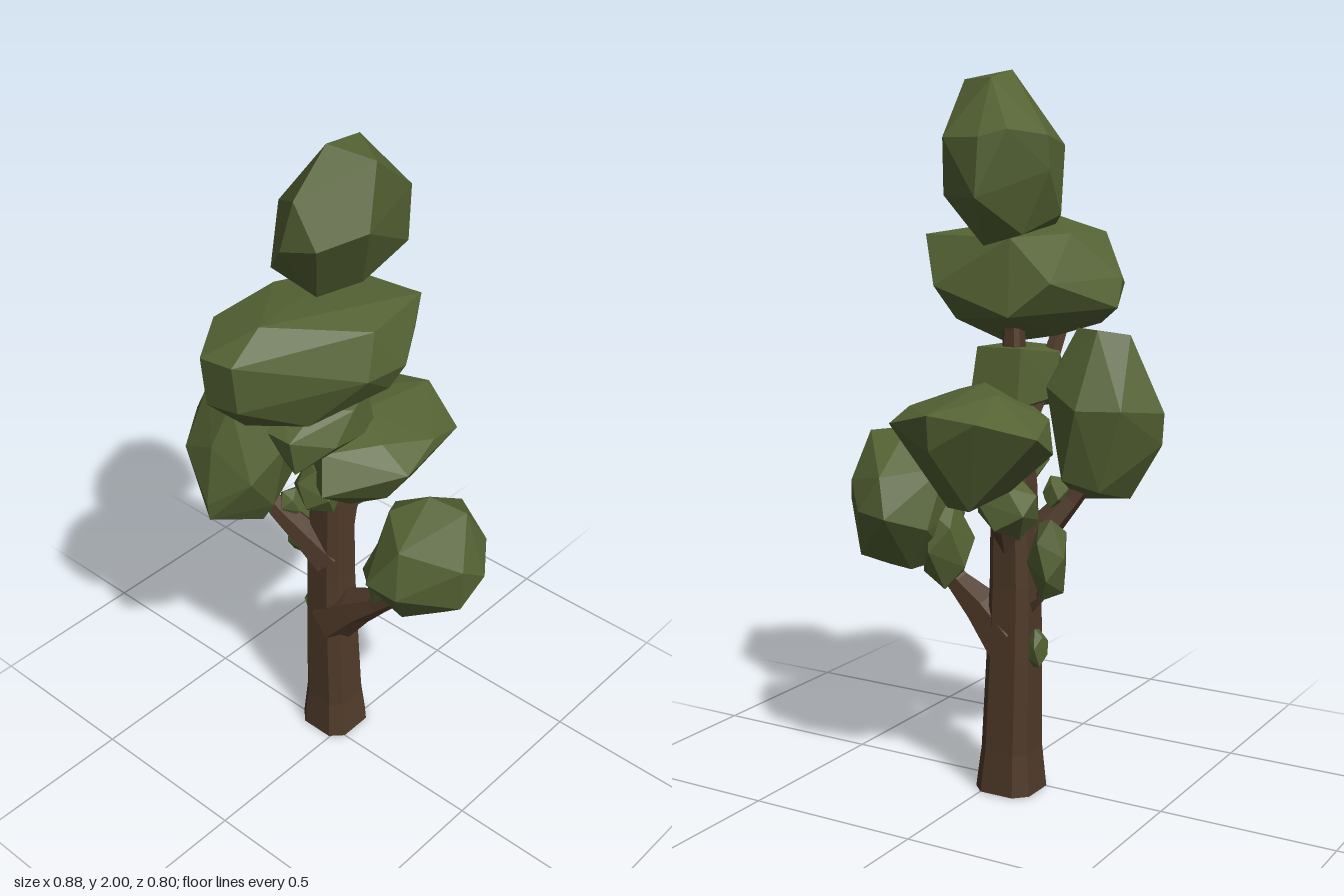
import * as THREE from 'three';
import { ConvexGeometry } from 'three/addons/geometries/ConvexGeometry.js';

const leaf = new THREE.MeshStandardMaterial({ color: 0x556334 });
leaf.name = 'leaf green';
const bark = new THREE.MeshStandardMaterial({ color: 0x4f3a29 });
bark.name = 'bark brown';

// Faceted limb: polygon rings swept through [x, y, z, radius] stations;
// bevel > 0 narrows every second face
function limb(name, stations, sides, bevel = 0) {
  const at = (s) => new THREE.Vector3(s[0], s[1], s[2]);
  const first = at(stations[0]), last = at(stations[stations.length - 1]);
  const d = last.clone().sub(first).normalize();
  const ref = Math.abs(d.y) > 0.9 ? new THREE.Vector3(1, 0, 0) : new THREE.Vector3(0, 1, 0);
  const u = ref.cross(d).normalize();
  const v = d.clone().cross(u);
  const rings = stations.map((s) => Array.from({ length: sides }, (_, i) => {
    const a = ((i + 0.5) / sides) * Math.PI * 2 + (i % 2 ? -bevel : bevel);
    return at(s).addScaledVector(u, Math.cos(a) * s[3]).addScaledVector(v, Math.sin(a) * s[3]);
  }));
  const tri = [];
  const top = rings[rings.length - 1];
  for (let i = 0; i < sides; i++) {
    const j = (i + 1) % sides;
    for (let k = 0; k + 1 < rings.length; k++) {
      const a = rings[k], b = rings[k + 1];
      tri.push(a[i], a[j], b[j], a[i], b[j], b[i]);
    }
    tri.push(first.clone().addScaledVector(d, 0.03), rings[0][j], rings[0][i]);
    tri.push(last, top[i], top[j]);
  }
  const geo = new THREE.BufferGeometry().setFromPoints(tri);
  geo.computeVertexNormals();
  const mesh = new THREE.Mesh(geo, bark);
  mesh.name = name;
  return mesh;
}

// Large faceted leaf mass: convex skin over a few corner points
function crown(name, corners) {
  const pts = corners.map((c) => new THREE.Vector3(...c));
  const mesh = new THREE.Mesh(new ConvexGeometry(pts), leaf);
  mesh.name = name;
  return mesh;
}

// Small leaf tuft: uneven twelve-cornered lump
function tuft(name, center, size, seed) {
  let s = seed * 7919 + 13;
  const rnd = () => (s = (s * 16807) % 2147483647) / 2147483647;
  const corners = [];
  for (let i = 0; i < 12; i++) {
    const h = 1 - (2 * (i + 0.5)) / 12;
    const r = Math.sqrt(1 - h * h), a = i * 2.4 + seed;
    const k = 0.95 + rnd() * 0.2;
    corners.push([
      center[0] + Math.cos(a) * r * size[0] * k,
      center[1] + h * size[1] * 1.05,
      center[2] + Math.sin(a) * r * size[2] * k,
    ]);
  }
  return crown(name, corners);
}

export function createModel() {
  const tree = new THREE.Group();
  tree.name = 'tree';

  // Trunk and branches
  tree.add(
    limb('trunk', [
      [-0.055, 0, -0.05, 0.1], [-0.057, 0.12, -0.05, 0.086], [-0.063, 0.4, -0.047, 0.078],
      [-0.065, 0.6, -0.045, 0.072], [-0.06, 0.88, -0.045, 0.064], [-0.06, 1.05, -0.04, 0.045],
      [-0.05, 1.33, -0.03, 0.028],
    ], 8, 0.14),
    limb('rightBranch', [
      [-0.05, 0.43, -0.045, 0.085], [0.04, 0.515, -0.045, 0.06],
      [0.12, 0.575, -0.045, 0.038], [0.22, 0.66, -0.05, 0.022],
    ], 6),
    limb('leftBranch', [
      [-0.06, 0.66, -0.03, 0.065], [-0.12, 0.75, 0.02, 0.046],
      [-0.18, 0.83, 0.06, 0.034], [-0.25, 0.92, 0.09, 0.02],
    ], 6),
    limb('backBranch', [
      [-0.06, 0.7, -0.05, 0.055], [-0.07, 0.8, -0.11, 0.038], [-0.07, 0.93, -0.2, 0.024],
    ], 6),
    limb('upperBranch', [
      [-0.06, 1.0, -0.03, 0.04], [-0.1, 1.15, 0.04, 0.03], [-0.13, 1.33, 0.11, 0.022],
    ], 6),
    limb('twig', [[-0.08, 0.52, -0.05, 0.035], [-0.15, 0.57, -0.055, 0.015], [-0.18, 0.64, -0.06, 0.01]], 5),
  );

  // Main leaf masses
  tree.add(
    crown('topCrown', [
      [-0.01, 2, 0.03], [0.11, 1.975, -0.02], [-0.03, 1.975, -0.116], [0.15, 1.82, 0.05],
      [-0.04, 1.75, 0.17], [0.07, 1.78, 0.155], [-0.01, 1.89, 0.15], [-0.106, 1.67, 0.135],
      [-0.17, 1.8, 0.035], [-0.22, 1.825, -0.15], [-0.22, 1.735, -0.14], [-0.21, 1.62, -0.06],
      [-0.15, 1.84, -0.24], [-0.08, 1.82, -0.268], [0.05, 1.82, -0.23], [-0.08, 1.667, -0.285],
      [-0.15, 1.57, -0.16], [-0.05, 1.54, -0.19], [0.07, 1.63, -0.02], [0, 1.6, 0.08],
      [-0.14, 1.59, 0.04], [0.06, 1.67, -0.21],
    ]),
    crown('upperCrown', [
      [0, 1.605, 0.29], [-0.175, 1.56, 0.276], [-0.1, 1.525, 0.4], [0, 1.53, 0.39],
      [-0.1, 1.38, 0.385], [0, 1.39, 0.375], [-0.29, 1.445, 0.15], [-0.3, 1.365, 0.1],
      [-0.24, 1.42, 0.265], [0.2, 1.44, 0.106], [0.18, 1.56, 0.06], [0.21, 1.434, -0.03],
      [0.18, 1.365, 0], [0.145, 1.565, -0.165], [0.1, 1.43, -0.2], [-0.1, 1.56, -0.14],
      [-0.2, 1.44, -0.1], [-0.1, 1.35, -0.15], [0.06, 1.34, -0.15], [0.03, 1.255, 0.07],
      [-0.14, 1.286, 0.05], [-0.05, 1.295, 0.3], [-0.2, 1.31, 0.2], [0.08, 1.3, 0.2],
      [-0.18, 1.565, 0.05],
    ]),
    crown('leftCrown', [
      [-0.44, 1.085, 0.11], [-0.43, 0.995, 0.12], [-0.35, 1.296, 0.08], [-0.2, 1.31, 0.06],
      [-0.28, 1.31, 0.02], [-0.37, 1.1, -0.016], [-0.257, 1.1, -0.064], [-0.36, 1.05, 0.236],
      [-0.25, 0.915, 0.268], [-0.25, 0.86, 0.26], [-0.25, 1.1, 0.24], [-0.22, 1.23, 0.19],
      [-0.33, 1.23, 0.17], [-0.1, 1.1, 0.1], [-0.135, 1.15, 0], [-0.135, 0.89, 0.12],
      [-0.177, 0.82, 0.12], [-0.336, 0.836, 0.12], [-0.3, 0.87, 0], [-0.2, 0.9, -0.03],
      [-0.14, 1, 0.2], [-0.16, 1.26, 0.1],
    ]),
    crown('backCrown', [
      [-0.274, 1.06, -0.3], [-0.25, 1, -0.17], [-0.137, 1.1, -0.38], [-0.005, 1.116, -0.403],
      [-0.005, 1.02, -0.395], [0.165, 1.07, -0.323], [0.205, 1.06, -0.06], [0.18, 1.1, -0.2],
      [0.12, 1.13, -0.05], [0, 1.165, -0.1], [-0.1, 1.15, -0.2], [0.02, 1.12, 0.085],
      [0.06, 1.02, 0.13], [0.14, 0.96, -0.05], [0.03, 0.9, -0.02], [-0.07, 0.85, -0.3],
      [0.01, 0.85, -0.28], [-0.15, 0.9, -0.22], [-0.1, 0.95, 0], [-0.2, 1.08, -0.1],
      [0.07, 0.9, -0.25],
    ]),
    crown('rightCrown', [
      [0.27, 1.016, -0.074], [0.38, 1, -0.1], [0.19, 0.968, 0], [0.13, 0.915, -0.1],
      [0.3, 0.93, 0.09], [0.217, 0.8, 0.127], [0.31, 0.78, 0.11], [0.217, 0.79, -0.278],
      [0.316, 0.8, -0.26], [0.25, 0.9, -0.25], [0.39, 0.87, -0.184], [0.438, 0.8, -0.12],
      [0.43, 0.86, -0.03], [0.42, 0.72, -0.04], [0.32, 0.614, -0.1], [0.22, 0.62, -0.14],
      [0.167, 0.635, -0.02], [0.27, 0.65, 0.03], [0.14, 0.76, 0.02], [0.14, 0.75, -0.18],
      [0.35, 0.66, -0.2],
    ]),
    crown('middleCrown', [
      [-0.15, 1.24, 0.05], [-0.1, 1.26, -0.08], [0.06, 1.24, 0], [0.065, 1.15, -0.02],
      [0.065, 1.16, 0.08], [0, 1.2, 0.19], [-0.08, 1.2, 0.19], [0, 1.09, 0.17],
      [-0.08, 1.08, 0.13], [-0.15, 1.12, 0.03], [-0.1, 1.1, -0.1], [0.04, 1.13, -0.11],
      [0.03, 1.26, -0.09], [0, 1.26, 0.08], [-0.1, 1.25, 0.12],
    ]),
  );

  // Small tufts around the trunk and branches
  [
    ['frontTuft', [-0.05, 0.945, 0.03], [0.075, 0.08, 0.07]],
    ['rearTuft', [-0.11, 0.84, -0.16], [0.09, 0.085, 0.08]],
    ['rightBranchTuft', [0.145, 0.69, -0.07], [0.07, 0.13, 0.085]],
    ['leftTuft', [-0.18, 0.685, -0.06], [0.055, 0.12, 0.06]],
    ['lowTuft', [-0.145, 0.425, -0.06], [0.028, 0.06, 0.035]],
    ['leftBranchTuft', [-0.15, 0.85, 0.03], [0.035, 0.05, 0.04]],
  ].forEach(([name, center, size], i) => tree.add(tuft(name, center, size, i + 1)));

  return tree;
}
